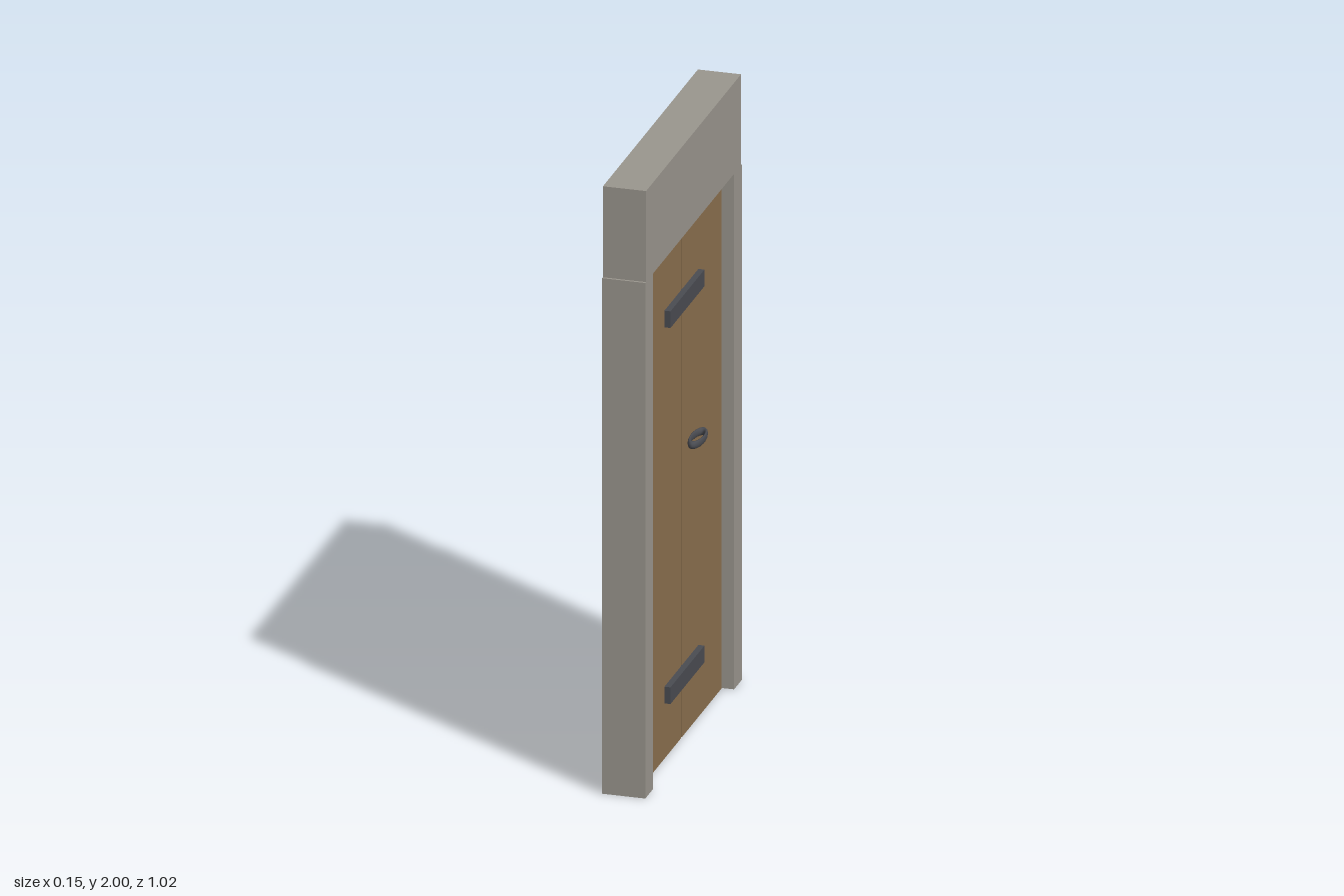
import * as THREE from 'three';

export function createModel() {
  const model = new THREE.Group();
  model.name = 'doubleDoor';

  const material = (name, color) => {
    const m = new THREE.MeshStandardMaterial({ color });
    m.name = name;
    return m;
  };
  const stone = material('grey stone', 0x9a968e);
  const wood = material('brown wood', 0x8b6f4e);
  const iron = material('dark iron', 0x4a4c52);

  // Adds a box given its size and centre
  const box = (name, mat, [w, h, d], [x, y, z]) => {
    const mesh = new THREE.Mesh(new THREE.BoxGeometry(w, h, d), mat);
    mesh.name = name;
    mesh.position.set(x, y, z);
    model.add(mesh);
  };

  const frameX = -0.004, doorX = -0.002;

  // Lintel resting on the two jambs
  box('lintel', stone, [0.138, 0.3, 1.006], [frameX, 1.85, 0]);

  for (const side of [1, -1]) {
    const label = side > 0 ? 'front' : 'back';
    box(label + 'Jamb', stone, [0.138, 1.7, 0.082], [frameX, 0.85, side * 0.47]);
    box(label + 'Leaf', wood, [0.056, 1.663, 0.42], [doorX, 0.8315, side * 0.216]);

    // Flattened pull ring, on opposite leaves of the two faces
    const ringGeometry = new THREE.TorusGeometry(0.06, 0.0125, 10, 32);
    ringGeometry.rotateX(Math.PI / 2);
    ringGeometry.scale(0.333, 1, 1);
    const ring = new THREE.Mesh(ringGeometry, iron);
    ring.name = side > 0 ? 'leftRingHandle' : 'rightRingHandle';
    ring.position.set(side > 0 ? 0.0485 : -0.0475, 0.953, -side * 0.099);
    // The flattening is along x, the long axis along z
    model.add(ring);
  }

  // Iron straps showing on both faces
  for (const [name, y] of [['lowerStrap', 0.21], ['upperStrap', 1.45]]) {
    box(name, iron, [0.095, 0.055, 0.36], [doorX, y, 0]);
  }

  return model;
}
